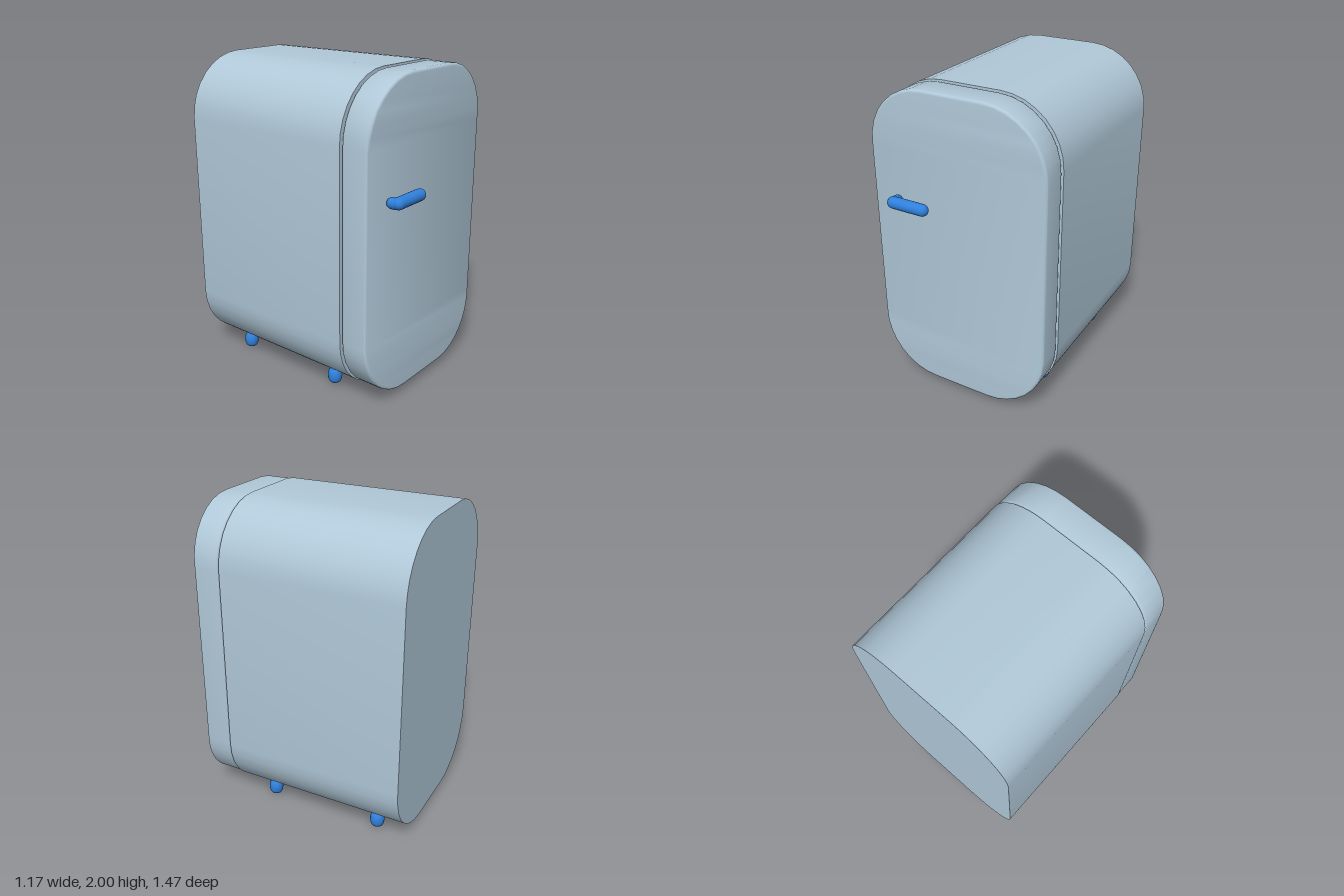
import * as THREE from 'three';
import { toCreasedNormals } from 'three/addons/utils/BufferGeometryUtils.js';

const MID_Y = 1.022;

// Right half of a rounded rectangle, from bottom to top.
function halfOutline(w, h, r, steps = 8) {
  const pts = [];
  for (const start of [-Math.PI / 2, 0]) {
    const cy = start < 0 ? -(h - r) : h - r;
    for (let i = 0; i <= steps; i++) {
      const a = start + (i / steps) * Math.PI / 2;
      pts.push([w - r + r * Math.cos(a), cy + r * Math.sin(a)]);
    }
  }
  return pts;
}

// Closed shell through rounded-rectangle sections, ordered back to front.
// Each section is [inset, z, flare]; flare pushes the top and bottom forward.
function shell(w, h, r, sections) {
  const pos = [], idx = [];
  let n = 0;
  for (const [inset, z, flare] of sections) {
    const half = halfOutline(w - inset, h - inset, r - inset);
    const loop = [...half, ...half.map(([x, y]) => [-x, y]).reverse()];
    n = loop.length;
    for (const [x, y] of loop) {
      const t = Math.max(0, (Math.abs(y) - (h - r)) / r);
      pos.push(x, y + MID_Y, z + flare * t);
    }
  }
  for (let s = 0; s < sections.length - 1; s++) {
    for (let i = 0; i < n; i++) {
      const a = s * n + i, b = s * n + (i + 1) % n;
      idx.push(a, b, b + n, a, b + n, a + n);
    }
  }
  // Caps made of horizontal strips between mirrored points.
  const f = (sections.length - 1) * n;
  for (let i = 0; i < n / 2 - 1; i++) {
    const j = n - 1 - i;
    idx.push(f + i, f + i + 1, f + j - 1, f + i, f + j - 1, f + j);
    idx.push(i, j - 1, i + 1, i, j, j - 1);
  }
  const g = new THREE.BufferGeometry();
  g.setAttribute('position', new THREE.Float32BufferAttribute(pos, 3));
  g.setIndex(idx);
  return toCreasedNormals(g, 0.6);
}

export function createModel() {
  const group = new THREE.Group();
  const paleBlue = new THREE.MeshStandardMaterial({ color: 0xb0c8d8 });
  paleBlue.name = 'paleBlue';
  const brightBlue = new THREE.MeshStandardMaterial({ color: 0x2f80dc });
  brightBlue.name = 'brightBlue';

  const add = (name, geometry, material, x = 0, y = 0, z = 0) => {
    const mesh = new THREE.Mesh(geometry, material);
    mesh.name = name;
    mesh.position.set(x, y, z);
    group.add(mesh);
    return mesh;
  };

  // Cabinet
  add('cabinet', shell(0.585, 0.978, 0.39, [[0, -0.735, 0], [0, 0.44, 0]]), paleBlue);

  // Door with softened edges and a front that flares at top and bottom
  const sections = [], bevel = 0.018, steps = 4;
  for (let i = 0; i <= steps; i++) {
    const a = (i / steps) * Math.PI / 2;
    sections.push([bevel * (1 - Math.sin(a)), 0.449 + bevel * (1 - Math.cos(a)), 0]);
  }
  for (let i = 0; i <= steps; i++) {
    const a = (i / steps) * Math.PI / 2;
    sections.push([bevel * (1 - Math.cos(a)), 0.624 - bevel * (1 - Math.sin(a)), 0.019]);
  }
  add('door', shell(0.581, 0.972, 0.387, sections), paleBlue);

  // Handle: bar on a short stub
  const bar = add('handleBar', new THREE.CapsuleGeometry(0.037, 0.206, 8, 20), brightBlue, -0.285, 1.298, 0.697);
  bar.rotation.z = Math.PI / 2;
  const stub = add('handleStub', new THREE.CapsuleGeometry(0.034, 0.02, 8, 20), brightBlue, -0.392, 1.294, 0.668);
  stub.rotation.x = Math.PI / 2;

  // Feet
  const profile = [[0, 0], [0.022, 0.002], [0.036, 0.012], [0.044, 0.03], [0.046, 0.052],
    [0.044, 0.074], [0.036, 0.094], [0.022, 0.104], [0, 0.107]].map(([x, y]) => new THREE.Vector2(x, y));
  const foot = new THREE.LatheGeometry(profile, 20);
  for (const x of [-0.378, 0.378]) {
    for (const z of [0.232, -0.52]) {
      add((z > 0 ? 'front' : 'back') + (x > 0 ? 'Left' : 'Right') + 'Foot', foot, brightBlue, x, 0, z);
    }
  }
  return group;
}
